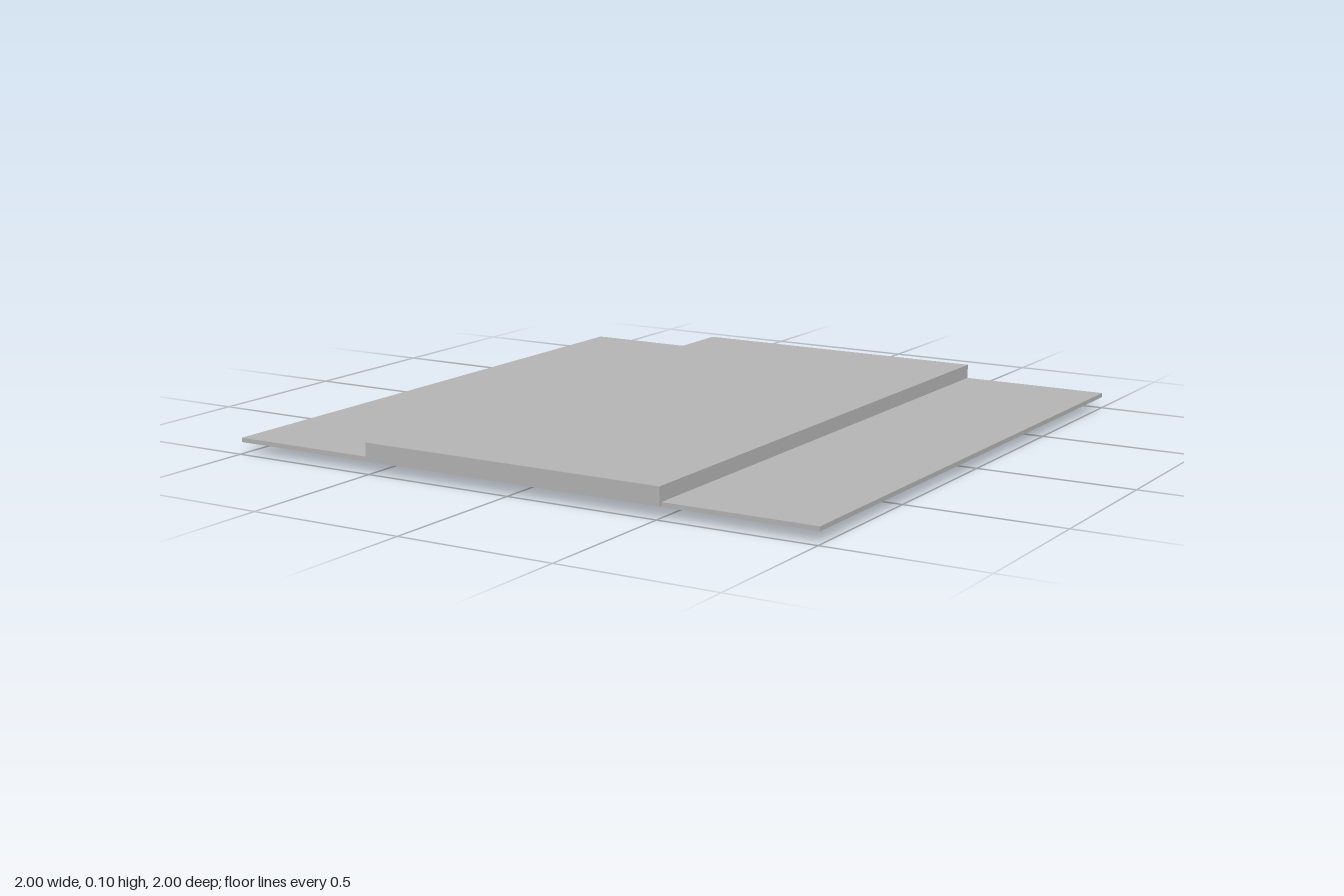
import * as THREE from 'three';

const grey = new THREE.MeshStandardMaterial({ color: 0xb3b3b3 });
grey.name = 'plainGrey';

// Box given by its minimum and maximum corners
function slab(name, [x0, y0, z0], [x1, y1, z1]) {
  const mesh = new THREE.Mesh(new THREE.BoxGeometry(x1 - x0, y1 - y0, z1 - z0), grey);
  mesh.position.set((x0 + x1) / 2, (y0 + y1) / 2, (z0 + z1) / 2);
  mesh.name = name;
  return mesh;
}

// Straight-sided strip with a rounded underside, extruded along z
function roundedStrip(name, halfWidth, bottom, top, length, z) {
  const shape = new THREE.Shape();
  shape.moveTo(halfWidth, top);
  shape.lineTo(-halfWidth, top);
  shape.lineTo(-halfWidth, bottom + halfWidth);
  shape.absarc(0, bottom + halfWidth, halfWidth, Math.PI, Math.PI * 2, false);
  shape.closePath();
  const geometry = new THREE.ExtrudeGeometry(shape, { depth: length, bevelEnabled: false, curveSegments: 8 });
  geometry.translate(0, 0, z - length / 2);
  const mesh = new THREE.Mesh(geometry, grey);
  mesh.name = name;
  return mesh;
}

// Rail under the panels: a bar between two slightly larger end caps
function rail(name, x, z, turned) {
  const group = new THREE.Group();
  const length = 0.324, cap = 0.016;
  group.add(roundedStrip('railBar', 0.011, 0.01, 0.037, length - cap, 0));
  for (const side of [-1, 1]) {
    group.add(roundedStrip('railEndCap', 0.015, 0, 0.037, cap, side * (length - cap) / 2));
  }
  group.position.set(x, 0, z);
  if (turned) group.rotation.y = Math.PI / 2;
  group.name = name;
  return group;
}

export function createModel() {
  const model = new THREE.Group();
  model.name = 'steppedPlatform';

  // Thin base in three strips, the middle one slightly recessed underneath
  model.add(slab('rightBasePanel', [-1, 0.036, -1], [-0.335, 0.05, 0.99]));
  model.add(slab('leftBasePanel', [0.335, 0.036, -1], [1, 0.05, 0.99]));

  // Raised centre block, running the full depth
  model.add(slab('centreBlock', [-0.51, 0.039, -1], [0.51, 0.096, 1]));

  // Crosswise rails under the sides
  for (const x of [-0.69, 0.69]) {
    for (const z of [0.41, -0.455]) model.add(rail('sideRail', x, z, true));
  }

  // Lengthwise rails under the middle
  for (const z of [0.468, -0.517]) model.add(rail('middleRail', 0, z, false));

  return model;
}
